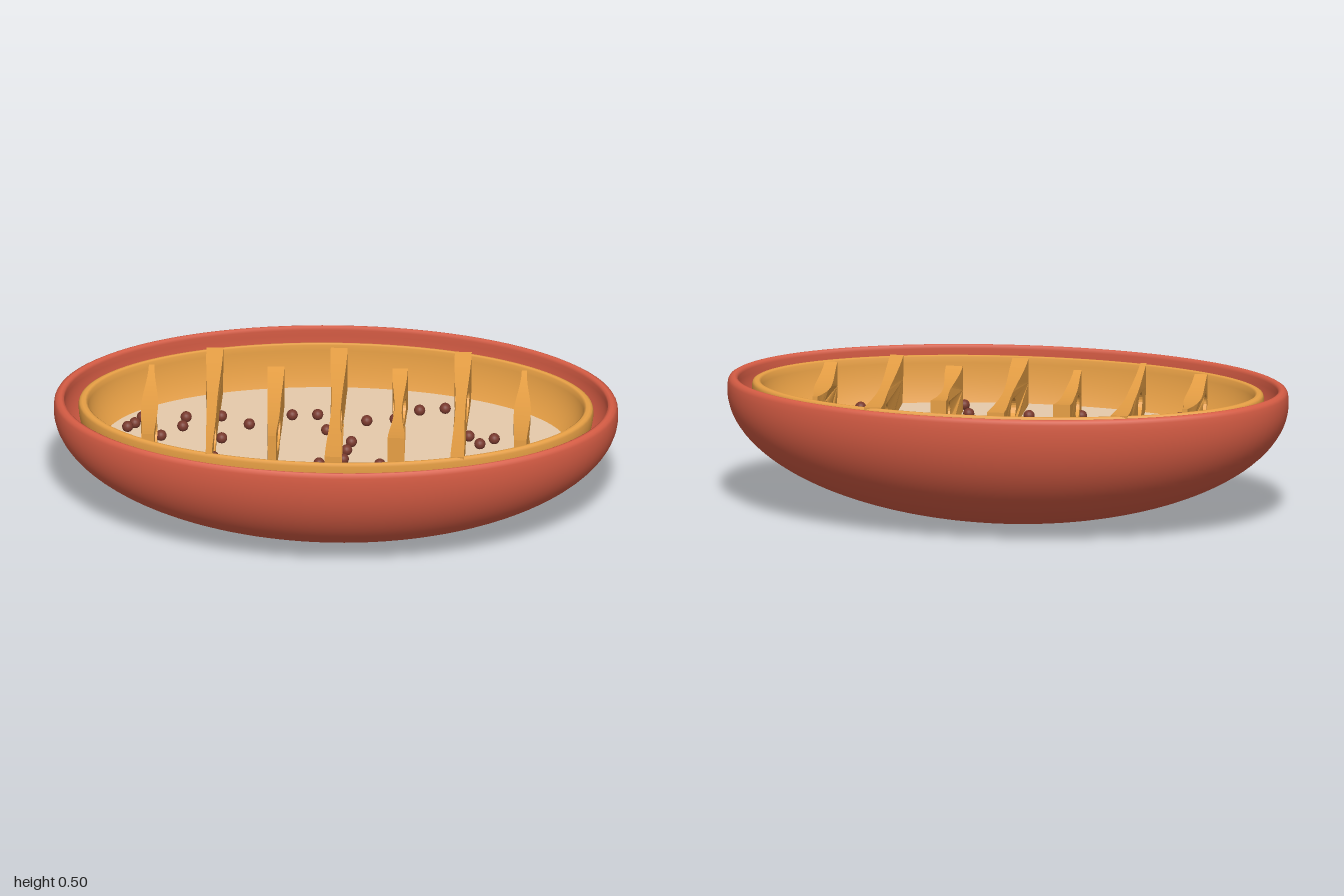
import * as THREE from 'three';

const paint = (name, color) => Object.assign(new THREE.MeshStandardMaterial({ color }), { name });
const INNER = { x: 0.88, y: 0.45, z: 0.39, top: 0.48 };
const FLOOR = 0.32;

export function createModel() {
  const model = new THREE.Group();
  const red = paint('membraneRed', 0xd65c44);
  const orange = paint('foldOrange', 0xe8a045);
  const beige = paint('matrixBeige', 0xe6caab);
  const brown = paint('granuleBrown', 0x78392d);

  const add = (name, geometry, material) => {
    const mesh = new THREE.Mesh(geometry, material);
    mesh.name = name;
    model.add(mesh);
    return mesh;
  };

  // Elliptical arc from the bottom centre up to a height, as profile points
  const arc = (radius, depth, centre, top) => {
    const end = Math.asin((top - centre) / depth);
    return Array.from({ length: 33 }, (_, i) => {
      const a = THREE.MathUtils.lerp(-Math.PI / 2, end, i / 32);
      return new THREE.Vector2(Math.max(radius * Math.cos(a), 0), centre + depth * Math.sin(a));
    });
  };

  // Closed thin bowl with a softly rounded rim, narrowed along z
  const bowl = (name, outer, inner, rim, squash, material) => {
    const profile = [...outer, ...rim.map((p) => new THREE.Vector2(...p)), ...inner.reverse()];
    add(name, new THREE.LatheGeometry(profile, 96).scale(1, 1, squash), material);
  };
  bowl('outerMembrane', arc(1, 0.45, 0.45, 0.482), arc(0.965, 0.44, 0.45, 0.485),
    [[0.992, 0.493], [0.982, 0.499], [0.974, 0.5], [0.965, 0.496]], 0.5, red);
  bowl('innerMembrane', arc(0.912, 0.445, 0.46, 0.472), arc(INNER.x, INNER.y, INNER.top, INNER.top),
    [[0.908, 0.481], [0.9, 0.485], [0.888, 0.485]], INNER.z / INNER.x, orange);

  // Flat floor inside the inner membrane
  add('matrixFloor', new THREE.CircleGeometry(1, 96).rotateX(-Math.PI / 2).scale(0.826, 1, 0.366), beige)
    .position.y = FLOOR;

  // Cross folds: x, half length, width at back, middle and front
  const folds = [
    [-0.66, 0.23, 0.02, 0.06, 0.045], [-0.44, 0.4, 0.06, 0.035, 0.022],
    [-0.22, 0.23, 0.06, 0.045, 0.028], [0, 0.36, 0.06, 0.034, 0.058],
    [0.22, 0.23, 0.055, 0.026, 0.06], [0.44, 0.4, 0.06, 0.035, 0.048],
    [0.66, 0.23, 0.018, 0.06, 0.045],
  ];
  const STEPS = 16;
  for (const [x, length, back, middle, front] of folds) {
    // Half length at a height, following the membrane wall
    const reach = (y) => {
      const room = 1 - (x / INNER.x) ** 2 - ((INNER.top - y) / INNER.y) ** 2;
      return Math.min(length, INNER.z * Math.sqrt(Math.max(room, 0)) + 0.01);
    };
    const low = FLOOR - 0.01, high = INNER.top + 0.008;
    const points = [];
    for (let i = 0; i <= STEPS; i++) {
      points.push(new THREE.Vector2((i / STEPS * 2 - 1) * reach(low), low));
    }
    points.push(new THREE.Vector2(reach(0.4), 0.4));
    // Top edge sags slightly between the ends
    for (let i = STEPS; i >= 0; i--) {
      const t = i / STEPS * 2 - 1;
      points.push(new THREE.Vector2(t * reach(high), high - 0.025 * (1 - t * t)));
    }
    points.push(new THREE.Vector2(-reach(0.4), 0.4));
    const shape = new THREE.Shape(points);
    const holeZ = THREE.MathUtils.clamp(-0.33 * x, -0.13, 0.13);
    shape.holes.push(new THREE.Path().absellipse(holeZ, 0.393, 0.08, 0.045, 0, Math.PI * 2));

    const g = new THREE.ExtrudeGeometry(shape, { depth: 1, bevelEnabled: false, curveSegments: 16 });
    g.translate(0, 0, -0.5).rotateY(-Math.PI / 2);
    const p = g.attributes.position;
    const half = reach(high);
    for (let i = 0; i < p.count; i++) {
      const t = THREE.MathUtils.clamp(p.getZ(i) / half, -1, 1);
      const ease = THREE.MathUtils.smoothstep(Math.abs(t), 0, 1);
      p.setX(i, p.getX(i) * THREE.MathUtils.lerp(middle, t < 0 ? back : front, ease));
    }
    g.computeVertexNormals();
    add('crossFold', g, orange).position.x = x;
  }

  // Small granules resting on the floor
  const granules = [
    [-0.74, -0.06], [-0.715, -0.085], [-0.69, -0.125], [-0.62, -0.005], [-0.59, 0.2],
    [-0.535, -0.13], [-0.545, -0.07], [-0.41, -0.14], [-0.405, 0.005], [-0.43, 0.13],
    [-0.31, -0.09], [-0.24, 0.18], [-0.16, -0.155], [-0.07, -0.16], [-0.035, -0.06],
    [-0.055, 0.16], [0.055, 0.015], [0.04, 0.07], [0.03, 0.13], [0.105, -0.125],
    [0.16, 0.16], [0.19, 0.27], [0.205, -0.14], [0.29, -0.2], [0.38, -0.215],
    [0.47, -0.035], [0.56, -0.02], [0.51, 0.015], [0.5, 0.17], [0.55, 0.195],
  ];
  const ball = new THREE.SphereGeometry(0.02, 16, 12);
  for (const [x, z] of granules) add('granule', ball, brown).position.set(x, FLOOR + 0.014, z);

  return model;
}
